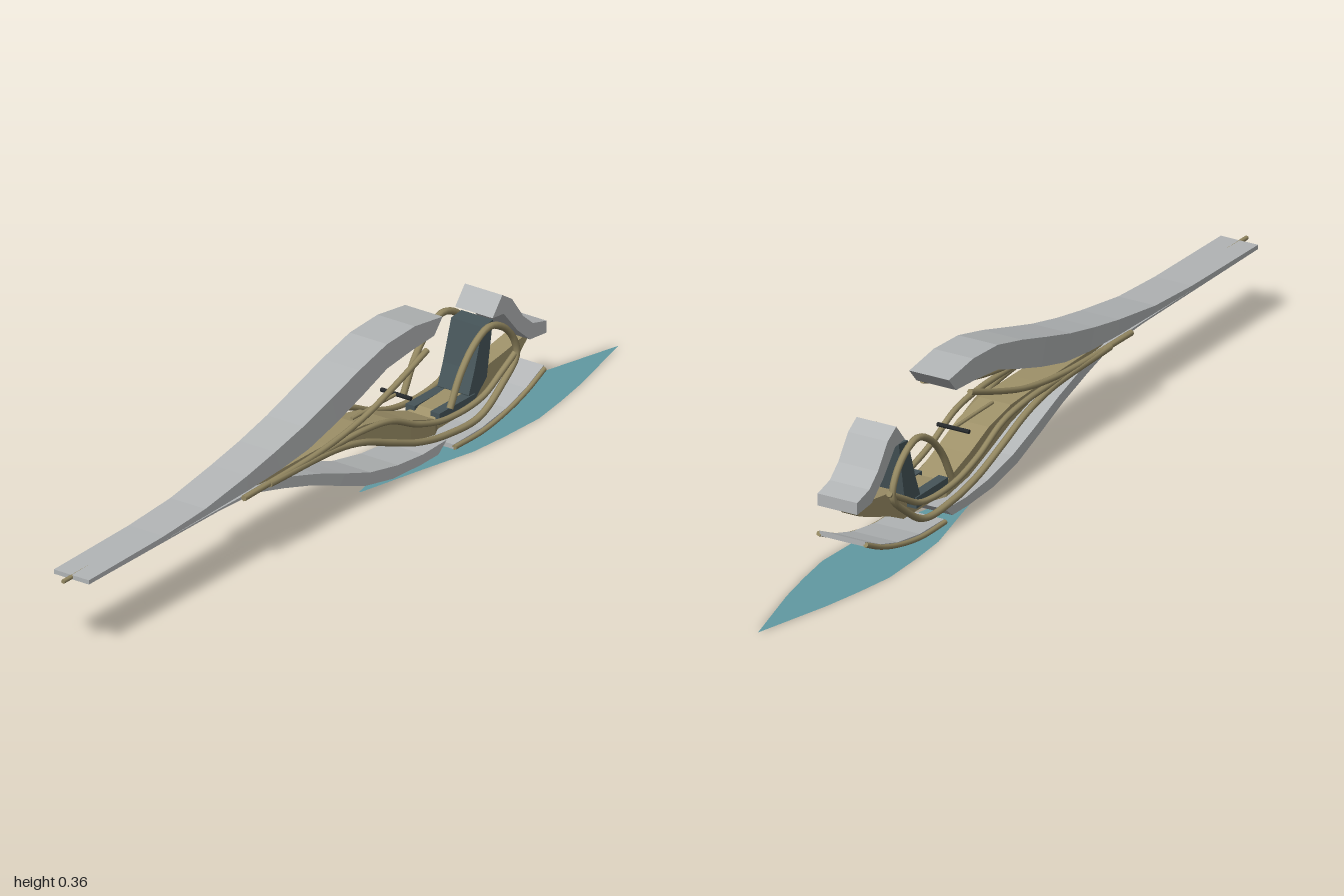
import * as THREE from 'three';

const mat = (name, color, extra = {}) => {
  const m = new THREE.MeshStandardMaterial({ color, flatShading: true, ...extra });
  m.name = name;
  return m;
};

// Rectangular loft along x; each station is [topX, topY, bottomX, bottomY, halfWidth]
function loft(stations) {
  const pos = [], idx = [];
  for (const [tx, ty, bx, by, w] of stations) pos.push(tx, ty, -w, tx, ty, w, bx, by, w, bx, by, -w);
  const n = stations.length;
  for (let s = 0; s < n - 1; s++) {
    for (let i = 0; i < 4; i++) {
      const a = s * 4 + i, a2 = s * 4 + (i + 1) % 4;
      idx.push(a, a2, a2 + 4, a, a2 + 4, a + 4);
    }
  }
  const e = (n - 1) * 4;
  idx.push(3, 2, 1, 3, 1, 0, e, e + 1, e + 2, e, e + 2, e + 3);
  const g = new THREE.BufferGeometry();
  g.setAttribute('position', new THREE.Float32BufferAttribute(pos, 3));
  g.setIndex(idx);
  const flat = g.toNonIndexed();
  flat.computeVertexNormals();
  return flat;
}

export function createModel() {
  const group = new THREE.Group();
  const grey = mat('shell grey', 0xb2b5b6);
  const tan = mat('hull tan', 0x9e9169);
  const tubeTan = mat('tube tan', 0x958962);
  const charcoal = mat('seat charcoal', 0x465559);
  const black = mat('control black', 0x25282a);
  const teal = mat('sail teal', 0x619aa3, { side: THREE.DoubleSide });
  tubeTan.flatShading = false;

  const add = (name, geo, material) => {
    const m = new THREE.Mesh(geo, material);
    m.name = name;
    group.add(m);
    return m;
  };

  // Tube with closed ends through [x, y] points at constant z
  const tube = (name, pts, z, r) => {
    const v = pts.map(([x, y]) => new THREE.Vector3(x, y, z));
    const curve = new THREE.CatmullRomCurve3(v, false, 'centripetal');
    add(name, new THREE.TubeGeometry(curve, pts.length * 6, r, 8), tubeTan);
    for (const [t, flip] of [[0, -1], [1, 1]]) {
      const cap = add(name + 'Cap', new THREE.CircleGeometry(r, 8), tubeTan);
      cap.position.copy(curve.getPoint(t));
      cap.lookAt(cap.position.clone().addScaledVector(curve.getTangent(t), flip));
    }
  };

  // Upper and lower shells, joining into the long flat tail
  add('upperShell', loft([
    [-0.97, 0.19, -0.97, 0.184, 0.047], [-0.7, 0.194, -0.7, 0.184, 0.047],
    [-0.55, 0.203, -0.55, 0.186, 0.047], [-0.4, 0.226, -0.4, 0.19, 0.048],
    [-0.3, 0.245, -0.28, 0.196, 0.048], [-0.2, 0.268, -0.18, 0.208, 0.049],
    [-0.1, 0.297, -0.08, 0.234, 0.05], [0, 0.327, 0.02, 0.266, 0.05],
    [0.1, 0.352, 0.1, 0.294, 0.05], [0.2, 0.357, 0.19, 0.304, 0.05],
    [0.3, 0.343, 0.27, 0.309, 0.05],
  ]), grey);
  add('lowerShell', loft([
    [-0.97, 0.184, -0.97, 0.18, 0.047], [-0.5, 0.184, -0.5, 0.18, 0.047],
    [-0.36, 0.183, -0.37, 0.174, 0.047], [-0.25, 0.168, -0.27, 0.148, 0.048],
    [-0.15, 0.138, -0.17, 0.118, 0.049], [-0.05, 0.102, -0.07, 0.08, 0.05],
    [0.04, 0.071, 0.02, 0.046, 0.05], [0.14, 0.051, 0.12, 0.026, 0.05],
    [0.23, 0.043, 0.22, 0.021, 0.05], [0.315, 0.046, 0.285, 0.022, 0.05],
  ]), grey);

  // Nose cowl behind the seat
  add('noseCowl', loft([
    [0.515, 0.314, 0.48, 0.272, 0.05], [0.55, 0.292, 0.52, 0.268, 0.05],
    [0.59, 0.237, 0.57, 0.21, 0.05], [0.625, 0.207, 0.615, 0.172, 0.05],
    [0.675, 0.194, 0.675, 0.166, 0.05],
  ]), grey);

  // Upturned front skid panel with edge rails
  add('skidPanel', loft([
    [0.33, 0.031, 0.33, 0.02, 0.057], [0.43, 0.033, 0.43, 0.022, 0.057],
    [0.52, 0.047, 0.52, 0.036, 0.057], [0.59, 0.068, 0.59, 0.057, 0.057],
    [0.655, 0.098, 0.655, 0.086, 0.057],
  ]), grey);

  // Central hull and floor, narrow in front
  add('hull', loft([
    [-0.42, 0.188, -0.42, 0.182, 0.035], [-0.1, 0.187, -0.1, 0.172, 0.038],
    [0.03, 0.184, 0.03, 0.142, 0.04], [0.12, 0.165, 0.12, 0.108, 0.04],
    [0.2, 0.132, 0.2, 0.08, 0.04], [0.29, 0.1, 0.29, 0.064, 0.038],
    [0.31, 0.11, 0.32, 0.062, 0.022], [0.41, 0.114, 0.44, 0.064, 0.022],
    [0.46, 0.14, 0.5, 0.092, 0.022], [0.56, 0.155, 0.57, 0.116, 0.022],
    [0.66, 0.172, 0.62, 0.136, 0.022],
  ]), tan);

  // Seat back and two base cushions
  add('seatBack', loft([
    [0.405, 0.115, 0.415, 0.085, 0.042], [0.425, 0.165, 0.47, 0.135, 0.042],
    [0.455, 0.258, 0.492, 0.262, 0.042],
  ].map(([a, b, c, d, w]) => [a, b, c, d, w])), charcoal);

  // Leaf-shaped ground sail
  const half = [[0.07, 0.002], [0.22, 0.035], [0.38, 0.073], [0.48, 0.081], [0.6, 0.085], [0.7, 0.07], [0.8, 0.051], [1, 0]];
  const outline = [...half, ...half.slice(0, -1).reverse().map(([x, z]) => [x, -z])];
  const sail = new THREE.ShapeGeometry(new THREE.Shape(outline.map(([x, z]) => new THREE.Vector2(x, z))));
  sail.rotateX(-Math.PI / 2);
  add('groundSail', sail, teal);

  for (const s of [-1, 1]) {
    const cushion = add('seatCushion', new THREE.BoxGeometry(0.13, 0.026, 0.024), charcoal);
    cushion.position.set(0.36, 0.1, s * 0.033);

    // Sill tube sweeping under the seat and over it as a roll arch
    tube('sillAndArch', [
      [-0.34, 0.188], [-0.1, 0.18], [0, 0.16], [0.1, 0.122], [0.2, 0.086], [0.3, 0.067],
      [0.42, 0.067], [0.5, 0.115], [0.55, 0.163], [0.54, 0.205], [0.5, 0.248],
      [0.45, 0.266], [0.4, 0.245], [0.35, 0.195], [0.31, 0.125],
    ], s * 0.062, 0.008);
    // Upper side rail
    tube('sideRail', [
      [-0.17, 0.188], [0, 0.187], [0.1, 0.172], [0.2, 0.128], [0.3, 0.103], [0.43, 0.108], [0.5, 0.142], [0.56, 0.175],
    ], s * 0.06, 0.007);
    // Rising strut beneath the upper shell
    tube('risingStrut', [
      [-0.43, 0.187], [-0.15, 0.195], [0, 0.217], [0.1, 0.246], [0.23, 0.292],
    ], s * 0.06, 0.007);
    tube('skidRail', [
      [0.33, 0.025], [0.43, 0.026], [0.52, 0.041], [0.59, 0.062], [0.655, 0.091],
    ], s * 0.059, 0.006);
  }

  // Tail rod, steering stem and handlebar
  tube('tailRod', [[-1, 0.185], [-0.9, 0.186], [-0.79, 0.187]], 0, 0.005);
  tube('steeringStem', [[0.04, 0.184], [0.12, 0.184], [0.2, 0.183]], 0, 0.004);
  const bar = add('handlebar', new THREE.CylinderGeometry(0.005, 0.005, 0.08, 8), black);
  bar.rotation.x = Math.PI / 2;
  bar.position.set(0.2, 0.183, 0);

  return group;
}
